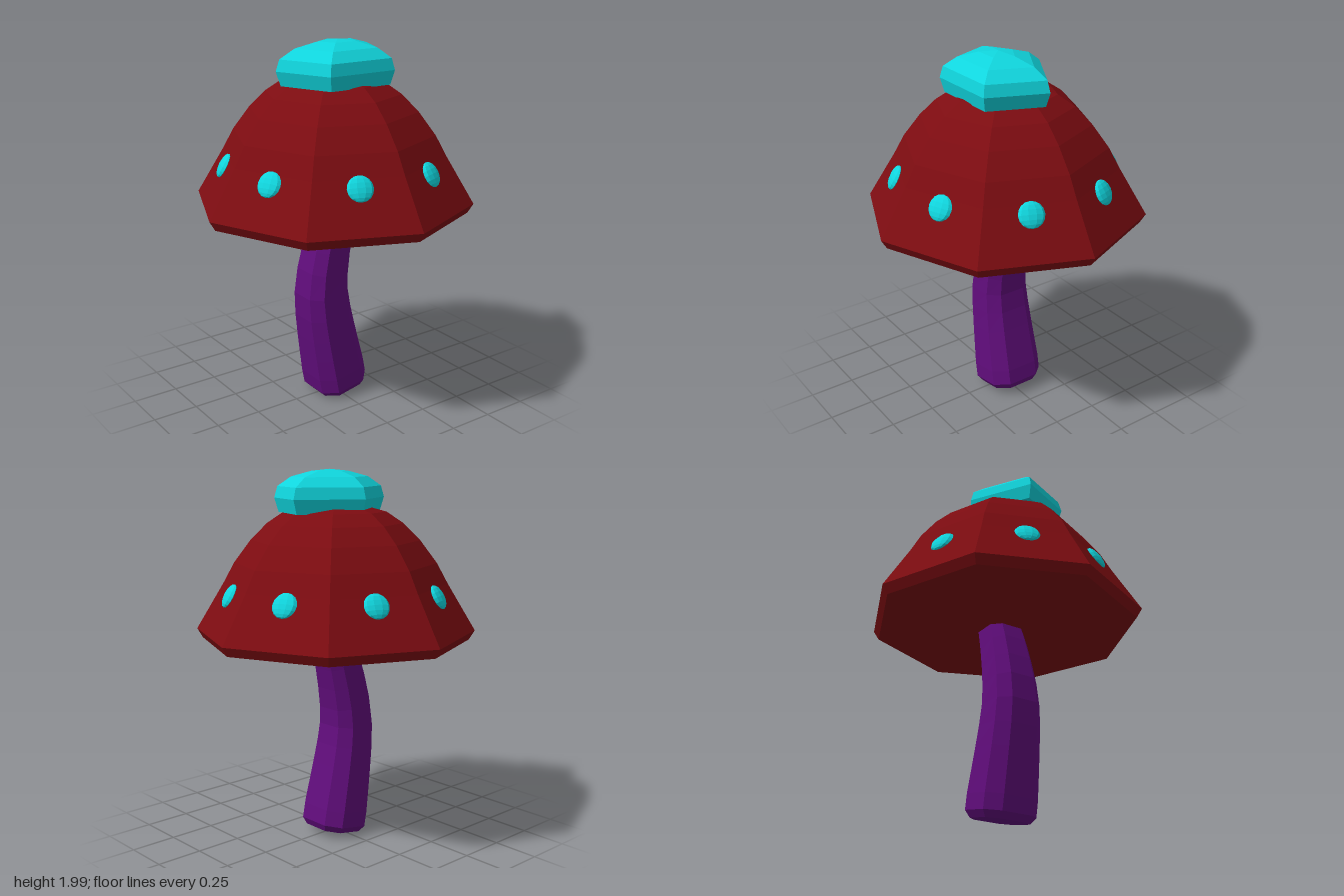
import * as THREE from 'three';

const paint = (color) => new THREE.MeshStandardMaterial({ color, flatShading: true });
const red = paint(0x7d0c11);
const cyan = paint(0x10d5dd);
const purple = paint(0x610d7c);

function lathe(profile, sides, start = 0) {
  return new THREE.LatheGeometry(profile.map(([r, y]) => new THREE.Vector2(r, y)), sides, start);
}

function addMesh(parent, name, geometry, material) {
  const mesh = new THREE.Mesh(geometry, material);
  mesh.name = name;
  parent.add(mesh);
  return mesh;
}

// Bent stem: chamfered-square sections set square to a curve in the xy plane
function stemGeometry() {
  const path = new THREE.CatmullRomCurve3([
    [0.027, 0.035], [0.005, 0.15], [-0.03, 0.33], [-0.06, 0.5], [-0.072, 0.65],
    [-0.05, 0.8], [-0.015, 0.95], [0.03, 1.1], [0.06, 1.2],
  ].map(([x, y]) => new THREE.Vector3(x, y, -0.01)));
  const k = 0.56;
  const section = [[1, k], [1, -k], [k, -1], [-k, -1], [-1, -k], [-1, k], [-k, 1], [k, 1]];
  const steps = [0, 0.03, 0.1, 0.2, 0.3, 0.4, 0.5, 0.6, 0.7, 0.8, 0.9, 1];
  const n = section.length;
  const positions = [];
  const index = [];
  steps.forEach((t, i) => {
    const c = path.getPointAt(t);
    const d = path.getTangentAt(t);
    // narrower first ring makes the bevelled foot
    const half = i === 0 ? 0.135 : THREE.MathUtils.lerp(0.16, 0.1, Math.max(0, t - 0.1) / 0.9);
    const width = half * 0.95;
    for (const [s, z] of section) {
      positions.push(c.x + d.y * s * width, c.y - d.x * s * width, c.z + z * half);
    }
    if (i === 0) return;
    for (let j = 0; j < n; j++) {
      const a = (i - 1) * n + j;
      const b = (i - 1) * n + (j + 1) % n;
      index.push(a, b, b + n, a, b + n, a + n);
    }
  });
  for (let j = 1; j < n - 1; j++) index.push(0, j + 1, j); // foot
  const geometry = new THREE.BufferGeometry();
  geometry.setAttribute('position', new THREE.Float32BufferAttribute(positions, 3));
  geometry.setIndex(index);
  geometry.computeVertexNormals();
  return geometry;
}

export function createModel() {
  const model = new THREE.Group();
  model.name = 'mushroom';

  addMesh(model, 'stem', stemGeometry(), purple);

  // Eight-sided cap with a flat underside
  addMesh(model, 'cap', lathe([
    [0, 1.08], [0.61, 1.08], [0.72, 1.1], [0.75, 1.15], [0.6, 1.4], [0.54, 1.51],
    [0.45, 1.63], [0.36, 1.72], [0.27, 1.78], [0.14, 1.815], [0, 1.825],
  ], 8), red);

  // Five-sided knob, squashed front to back, one corner to the rear
  const knob = addMesh(model, 'topKnob', lathe([
    [0, 1.775], [0.312, 1.775], [0.338, 1.85], [0.318, 1.91], [0.235, 1.96], [0.11, 1.99], [0, 2],
  ], 5, Math.PI), cyan);
  knob.scale.z = 0.806;
  knob.position.z = 0.042;

  // One flattened spot lying on each sloping face
  const spots = new THREE.Group();
  spots.name = 'spots';
  const spotGeometry = new THREE.SphereGeometry(1, 10, 8);
  for (let i = 0; i < 8; i++) {
    const angle = (i + 0.5) * Math.PI / 4;
    const spot = addMesh(spots, 'spot', spotGeometry, cyan);
    spot.position.set(Math.sin(angle) * 0.58, 1.36, Math.cos(angle) * 0.58);
    spot.rotation.set(-0.507, angle, 0, 'YXZ');
    spot.scale.set(0.067, 0.067, 0.024);
  }
  model.add(spots);

  return model;
}
